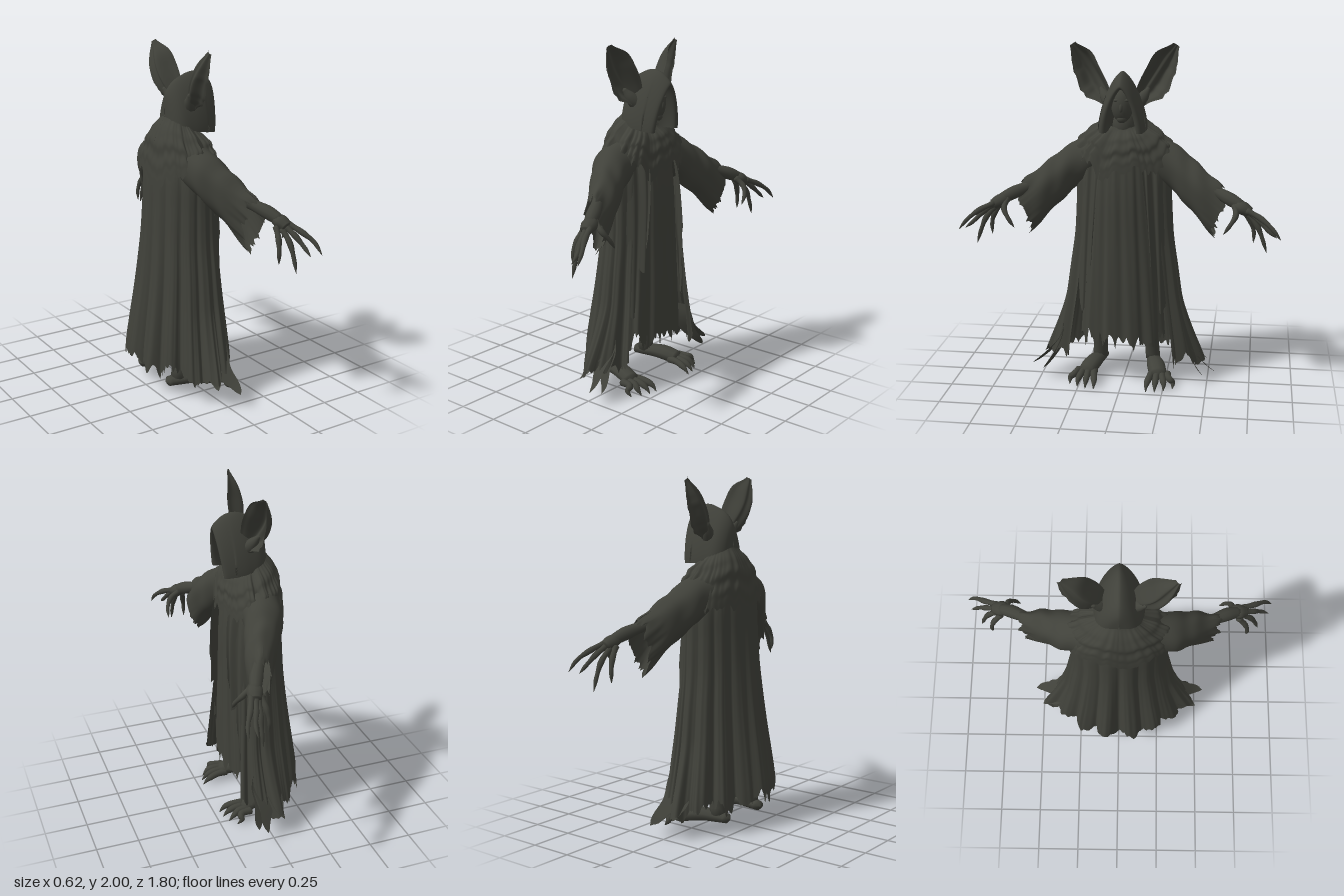
import * as THREE from 'three';
import { mergeVertices } from 'three/addons/utils/BufferGeometryUtils.js';

const V = (x, y, z) => new THREE.Vector3(x, y, z);

// seeded value noise, used for tattered hems
const hash = (i) => { const s = Math.sin(i * 127.1 + 11.7) * 43758.5453; return s - Math.floor(s); };
const noise = (s) => { const i = Math.floor(s); return THREE.MathUtils.lerp(hash(i), hash(i + 1), s - i); };
const rag = (s) => 0.6 * noise(s * 22) + 0.4 * noise(s * 70 + 300);

// smooth lookup in an evenly spaced list
function at(list, t) {
  const f = THREE.MathUtils.clamp(t, 0, 1) * (list.length - 1);
  const i = Math.min(Math.floor(f), list.length - 2), k = f - i;
  const p = (j) => list[THREE.MathUtils.clamp(j, 0, list.length - 1)];
  const a = p(i - 1), b = p(i), c = p(i + 1), d = p(i + 2);
  return b + 0.5 * k * (c - a + k * (2 * a - 5 * b + 4 * c - d + k * (3 * (b - c) + d - a)));
}

// grid surface from fn(u, v) -> Vector3
function surface(nu, nv, fn) {
  const pos = [], idx = [];
  for (let j = 0; j <= nv; j++) for (let i = 0; i <= nu; i++) pos.push(...fn(i / nu, j / nv).toArray());
  for (let j = 0; j < nv; j++) for (let i = 0; i < nu; i++) {
    const a = j * (nu + 1) + i, b = a + nu + 1;
    idx.push(a, b, a + 1, b, b + 1, a + 1);
  }
  const g = new THREE.BufferGeometry();
  g.setAttribute('position', new THREE.Float32BufferAttribute(pos, 3));
  g.setIndex(idx);
  const m = mergeVertices(g, 1e-5);
  m.computeVertexNormals();
  return m;
}

// tapered tube through points, with closed ends
function limb(pts, radii, flat = 1) {
  const curve = new THREE.CatmullRomCurve3(pts);
  const n = 18, fr = curve.computeFrenetFrames(n);
  return surface(10, n, (u, v) => {
    const j = Math.round(v * n), a = u % 1 * Math.PI * 2;
    const r = j === 0 || j === n ? 0.0005 : at(radii, v);
    const o = V(0, 0, 0).addScaledVector(fr.normals[j], Math.cos(a) * r).addScaledVector(fr.binormals[j], Math.sin(a) * r);
    o.y *= flat;
    return o.add(curve.getPointAt(v));
  });
}

export function createModel() {
  const cloth = new THREE.MeshStandardMaterial({ color: 0x40413a, side: THREE.DoubleSide });
  cloth.name = 'charcoal';
  const figure = new THREE.Group();
  figure.name = 'hoodedFigure';
  const add = (name, geo, parent = figure) => {
    const m = new THREE.Mesh(geo, cloth);
    m.name = name;
    parent.add(m);
    return m;
  };

  // cloak, open at the front, with deep round pleats at the back
  const cw = [0.2, 0.265, 0.275, 0.285, 0.31, 0.335, 0.365, 0.39];
  const cb = [0.165, 0.19, 0.198, 0.208, 0.223, 0.243, 0.266, 0.285];
  add('cloak', surface(240, 40, (u, v) => {
    const a = (u - 0.5) * 4.6, c = Math.cos(a), side = Math.abs(Math.sin(a));
    const corner = Math.exp(-(((Math.abs(a) - 1.55) / 0.35) ** 2));
    const y = THREE.MathUtils.lerp(1.47, 0.08 + 0.17 * rag(u * 2 + 4) * (1 - 0.4 * corner), v);
    const pleat = Math.sqrt(0.5 + 0.5 * Math.cos(15 * (Math.abs(a) - 0.22))) * 2 - 1.15;
    const fold = 1 + (0.02 + 0.1 * v) * pleat * (1 - 0.55 * side) + 0.008 * v * Math.sin(41 * a);
    const flare = 0.08 * corner * Math.max(0, (v - 0.7) / 0.3) ** 1.5;
    const x = Math.sin(a) * (at(cw, v) * fold + flare);
    return V(x, y, -c * at(cb, v) * fold * (c < 0 ? 0.7 : 1) - flare * 0.4);
  }));

  // inner robe with a tattered hem
  add('robe', surface(180, 30, (u, v) => {
    const a = (u % 1) * Math.PI * 2, c = Math.cos(a), s = Math.sin(a);
    const y = THREE.MathUtils.lerp(1.47, 0.17 + 0.22 * rag(u * 2), v);
    const f = 1 + (0.01 + 0.04 * v) * Math.cos(11 * a) + 0.012 * Math.sin(23 * a + 3 * v);
    const z = -Math.sign(c) * Math.abs(c) ** 0.7 * (c < 0 ? at([0.11, 0.14, 0.145, 0.15, 0.15], v) : 0.1);
    return V(s * at([0.16, 0.18, 0.2, 0.22, 0.24], v) * f, y, z * f);
  }));

  // shoulder cape rising to the hood, with sagging swags and a torn edge
  add('shoulderCape', surface(180, 36, (u, v) => {
    const a = (u % 1) * Math.PI * 2, c = Math.cos(a), s = Math.sin(a);
    const hem = 1.235 + 0.025 * (1 - c) + 0.08 * s * s + 0.15 * (rag(u * 1.6 + 9) - 0.5);
    const y = THREE.MathUtils.lerp(1.575 + 0.045 * c, hem, v);
    const swag = 1 + 0.028 * Math.sin(v * 20 - 4 * (1 - c)) * Math.sin(Math.PI * Math.min(v * 1.15, 1)) + 0.008 * Math.sin(9 * a) * v;
    const depth = at([0.085, 0.145, 0.165, 0.175, 0.18], v) * (c < 0 ? 0.97 : 1);
    return V(s * at([0.11, 0.19, 0.25, 0.29, 0.315], v) * swag, y, -0.02 - c * depth * swag);
  }));

  // hood: pointed arches from the back to the rim, then folded inside
  const hz = [-0.11, -0.1, -0.06, 0.01, 0.07, 0.13, 0.185, 0.18, 0.1, 0.02];
  const hw = [0.005, 0.07, 0.112, 0.126, 0.128, 0.122, 0.108, 0.08, 0.075, 0.04];
  const ht = [1.66, 1.74, 1.8, 1.838, 1.852, 1.838, 1.79, 1.765, 1.755, 1.72];
  add('hood', surface(48, 40, (u, v) => {
    const c = Math.cos(u * Math.PI), k = Math.max(0, 1 - Math.abs(c) ** 1.5) ** 0.6;
    const low = 1.55 - 0.035 * Math.min(1, v * 1.5);
    const z = at(hz, v) - (v > 0.5 ? 0.035 * (1 - k) : 0);
    return V(c * at(hw, v) * (1 + 0.08 * (1 - k)), low + (at(ht, v) - low) * k, z);
  }));

  // shadowed face with brow, nose and chin
  const head = new THREE.Group();
  head.name = 'head';
  figure.add(head);
  const ball = (name, x, y, z, sx, sy, sz) => {
    const m = add(name, new THREE.SphereGeometry(1, 20, 14), head);
    m.position.set(x, y, z);
    m.scale.set(sx, sy, sz);
  };
  ball('face', 0, 1.665, 0.08, 0.062, 0.1, 0.06);
  ball('nose', 0, 1.655, 0.132, 0.012, 0.026, 0.012);
  ball('chin', 0, 1.59, 0.1, 0.03, 0.025, 0.025);
  ball('neck', 0, 1.54, 0, 0.07, 0.1, 0.07);
  for (const s of [1, -1]) ball('brow', s * 0.024, 1.695, 0.122, 0.022, 0.01, 0.012);

  for (const s of [1, -1]) {
    const P = (x, y, z) => V(s * x, y, z);

    // large cupped ear, turned forward and outward
    add('ear', surface(28, 28, (u, v) => {
      const k = u * 2 - 1;
      const w = k > 0 ? at([0.045, 0.106, 0.1, 0.07, 0.02], v) * (1 - 0.12 * noise(v * 14)) : at([0.04, 0.06, 0.07, 0.074, 0.022], v);
      const cup = Math.sin(Math.PI * Math.min(0.96, 0.12 + v * 0.85));
      const z = 0.025 - 0.03 * v + cup * (-0.07 + 0.09 * k * k + 0.01 * Math.cos(k * 9) - 0.032 * k);
      return P(0.09 + 0.205 * v + 0.84 * k * w, 1.68 + 0.312 * v - 0.55 * k * w, z);
    }));
    add('earRoot', limb([P(0.07, 1.66, 0.01), P(0.1, 1.69, -0.005), P(0.14, 1.75, -0.035)], [0.045, 0.032, 0.01]));

    // wide hanging sleeve with a torn cuff
    add('sleeve', surface(72, 24, (u, v) => {
      const a = (u % 1) * Math.PI * 2, tear = 0.07 * (rag(u * 1.2 + 2) - 0.5) * Math.max(0, v - 0.75) * 4;
      const f = 1 + 0.035 * Math.sin(v * 19 + 3 * Math.cos(a)) + 0.03 * Math.sin(6 * a) * v;
      const h = Math.cos(a) * at([0.11, 0.115, 0.125, 0.15], v) * f;
      const d = Math.sin(a) * at([0.115, 0.112, 0.095, 0.058], v) * f;
      return P(at([0.15, 0.3, 0.42, 0.55], v) + at([0.36, 0.36, 0.3, 0.2], v) * h + tear, at([1.38, 1.295, 1.195, 1.075], v) + 0.95 * h - tear, at([-0.03, 0, 0.06, 0.115], v) + d - 0.3 * Math.abs(tear));
    }));

    // forearm, palm and clawed fingers
    const hand = new THREE.Group();
    hand.name = s > 0 ? 'leftHand' : 'rightHand';
    figure.add(hand);
    add('forearm', limb([P(0.36, 1.27, 0.03), P(0.52, 1.2, 0.11), P(0.62, 1.16, 0.165), P(0.7, 1.12, 0.2)], [0.055, 0.045, 0.032, 0.038, 0.03]), hand);
    add('palm', limb([P(0.63, 1.145, 0.17), P(0.68, 1.125, 0.195), P(0.73, 1.1, 0.21)], [0.025, 0.045, 0.033], 0.8), hand);
    const fingers = [
      [[0.7, 1.12, 0.22], [0.79, 1.08, 0.26], [0.85, 1.035, 0.295], [0.9, 0.975, 0.31]],
      [[0.71, 1.11, 0.2], [0.78, 1.06, 0.225], [0.83, 1.01, 0.245], [0.88, 0.97, 0.25]],
      [[0.7, 1.1, 0.185], [0.765, 1.03, 0.195], [0.8, 0.95, 0.2], [0.825, 0.87, 0.2]],
      [[0.68, 1.11, 0.165], [0.73, 1.04, 0.15], [0.75, 0.98, 0.14], [0.75, 0.91, 0.14]],
      [[0.64, 1.14, 0.19], [0.65, 1.09, 0.25], [0.62, 1.04, 0.28], [0.585, 0.99, 0.285]],
    ];
    for (const f of fingers) add('finger', limb(f.map((p) => P(...p)), [0.02, 0.015, 0.017, 0.012, 0.011, 0.002]), hand);

    // leg, foot and clawed toes
    add('leg', limb([P(0.12, 0.75, -0.03), P(0.14, 0.42, -0.04), P(0.155, 0.22, -0.1), P(0.165, 0.05, -0.13)], [0.08, 0.075, 0.045, 0.045]));
    add('foot', limb([P(0.15, 0.07, -0.205), P(0.165, 0.075, -0.13), P(0.19, 0.08, -0.02), P(0.22, 0.055, 0.1)], [0.035, 0.045, 0.055, 0.05], 0.75));
    for (let i = 0; i < 4; i++) {
      const x = 0.175 + i * 0.03, e = 0.155 + i * 0.05, z = 0.22 - 0.007 * i * i;
      add('toe', limb([P(x, 0.055, 0.05), P((x + e) / 2, 0.055, 0.13), P(e, 0.035, z - 0.03), P(e, 0.003, z)], [0.024, 0.02, 0.018, 0.003]));
    }

    // long torn drapes hanging from under the cape beside the robe front
    for (const [x, w, end, z] of [[0.2, 0.045, 0.45, 0.1], [0.145, 0.03, 0.72, 0.138]]) {
      add('drape', surface(20, 24, (u, v) => {
        const k = u * 2 - 1, y = THREE.MathUtils.lerp(1.34, end + 0.25 * k * k * noise(u * 6 + x * 90), v);
        return P(x + 0.035 * v + k * w * (1 - 0.4 * v), y, z - 0.03 * (1 - v) ** 4 + 0.01 * Math.cos(k * 4) - 0.03 * k);
      }));
    }
    // pointed shreds trailing outward from the cloak corners
    for (const [x, y, z] of [[0.55, 0.085, 0.05], [0.48, 0.065, 0.08], [0.5, 0.12, -0.07]]) {
      add('shred', surface(6, 14, (u, v) => {
        const w = (u - 0.5) * 0.15 * (1 - v) ** 0.6;
        return P(THREE.MathUtils.lerp(0.34, x, v ** 1.5) + 0.15 * w, THREE.MathUtils.lerp(0.36, y, v ** 0.75) + 0.5 * w * v, z * v + w + 0.008 * Math.sin(v * 9));
      }));
    }
  }

  // turn the figure towards +x
  figure.rotation.y = Math.PI / 2;
  const model = new THREE.Group();
  model.name = 'model';
  model.add(figure);
  return model;
}
